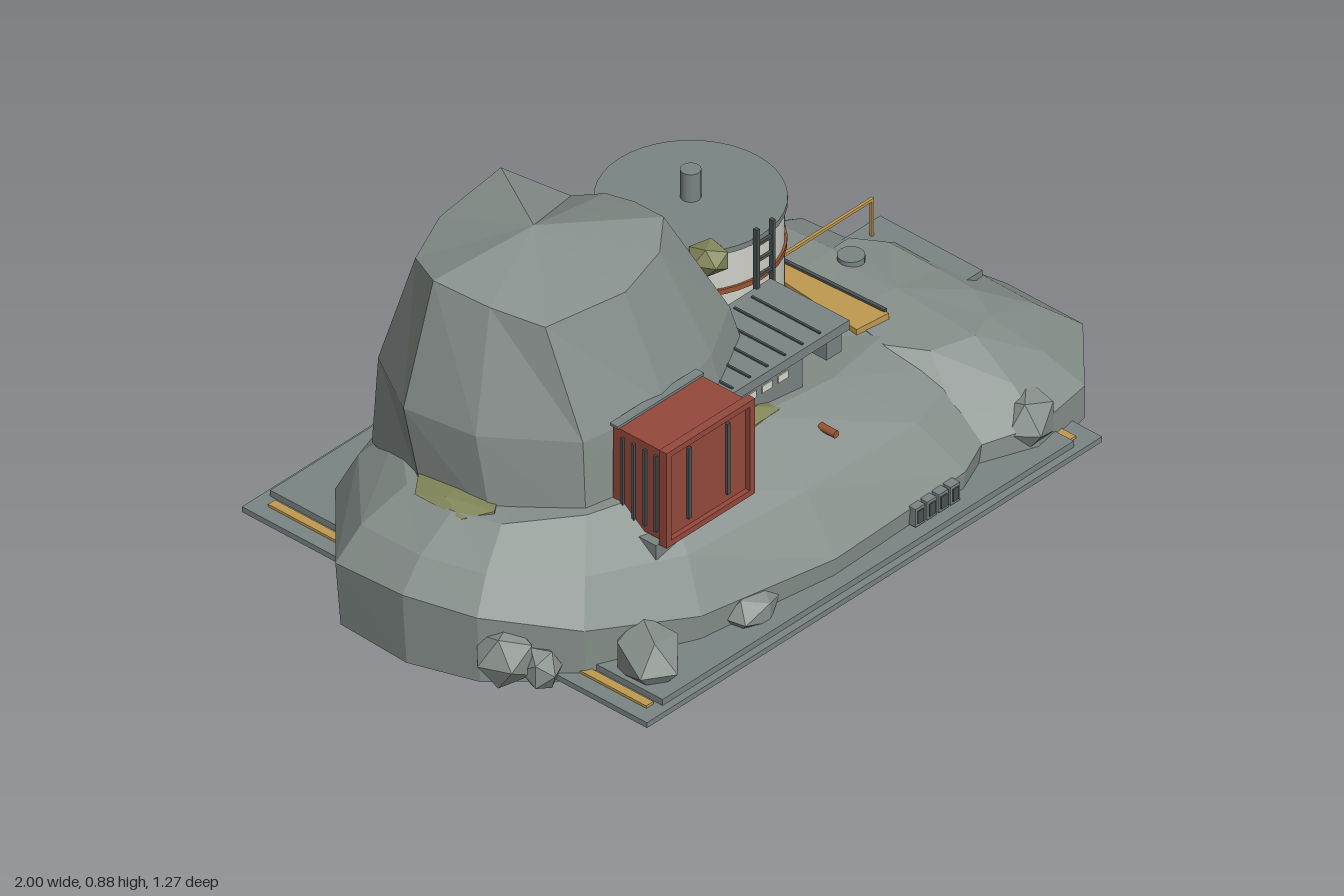
import * as THREE from 'three';

const mat = (name, color, extra = {}) => Object.assign(new THREE.MeshStandardMaterial({ color, ...extra }), { name });

export function createModel() {
  const root = new THREE.Group();
  root.name = 'rockOutpost';
  const rock = mat('rock grey', 0x88918d, { flatShading: true });
  const metal = mat('metal grey', 0x7b8583);
  const dark = mat('dark steel', 0x4b5252);
  const tankWhite = mat('tank white', 0xd0d0c8);
  const red = mat('container red', 0x96493c);
  const yellow = mat('ochre yellow', 0xc09a50);
  const rust = mat('rust', 0x9a5636);
  const moss = mat('moss olive', 0x83875a, { flatShading: true });
  const glass = mat('pale window', 0xd6d8cc);

  const add = (name, geo, m, x = 0, y = 0, z = 0, parent = root) => {
    const mesh = new THREE.Mesh(geo, m);
    mesh.name = name;
    mesh.position.set(x, y, z);
    parent.add(mesh);
    return mesh;
  };
  // box given by its minimum and maximum on each axis
  const box = (name, m, x0, x1, y0, y1, z0, z1) =>
    add(name, new THREE.BoxGeometry(x1 - x0, y1 - y0, z1 - z0), m, (x0 + x1) / 2, (y0 + y1) / 2, (z0 + z1) / 2);
  const cyl = (name, m, r, y0, y1, x, z, n = 32) =>
    add(name, new THREE.CylinderGeometry(r, r, y1 - y0, n), m, x, (y0 + y1) / 2, z);

  // faceted rock skinned over rings of [x, y, z], closed by a bottom and a peak point
  const loft = (name, rings, peak) => {
    const n = rings[0].length, pos = [];
    const tri = (...p) => p.forEach(v => pos.push(...v));
    const base = [peak[0], rings[0][0][1], peak[2]];
    for (let i = 0; i < n; i++) {
      const j = (i + 1) % n;
      for (let k = 0; k + 1 < rings.length; k++) {
        const a = rings[k][i], b = rings[k][j], c = rings[k + 1][j], d = rings[k + 1][i];
        tri(a, d, c);
        tri(a, c, b);
      }
      tri(base, rings[0][i], rings[0][j]);
      tri(peak, rings[rings.length - 1][j], rings[rings.length - 1][i]);
    }
    const g = new THREE.BufferGeometry();
    g.setAttribute('position', new THREE.Float32BufferAttribute(pos, 3));
    g.computeVertexNormals();
    return add(name, g, rock);
  };
  // ring between two rings: t across, u upwards
  const between = (lo, hi, t, u) => lo.map((p, i) => [
    p[0] + (hi[i][0] - p[0]) * t, p[1] + (hi[i][1] - p[1]) * u, p[2] + (hi[i][2] - p[2]) * t]);
  const foot = (ring, s) => ring.map(p => [p[0] * s, 0, p[2] * s]);

  // main mound
  const moundWide = [[.84, .1, -.1], [.8, .1, .2], [.62, .1, .45], [.36, .09, .56], [-.1, .09, .575], [-.5, .11, .52],
    [-.77, .15, .4], [-.94, .19, .22], [-1, .2, .04], [-.99, .18, -.18], [-.73, .14, -.42], [-.2, .1, -.61], [.42, .1, -.615], [.82, .1, -.33]];
  const moundTop = [[.62, .27, -.1], [.58, .27, .1], [.45, .27, .22], [.2, .31, .29], [-.08, .35, .3], [-.42, .34, .33],
    [-.62, .34, .27], [-.78, .34, .15], [-.82, .34, .03], [-.8, .33, -.13], [-.62, .31, -.32], [-.18, .29, -.46], [.38, .27, -.45], [.62, .26, -.28]];
  loft('moundRock', [foot(moundWide, .985), moundWide, between(moundWide, moundTop, .36, .55), moundTop], [.1, .3, -.05]);

  // lower lobe on the left side
  const lobeWide = [[1, .07, .1], [1, .07, .34], [.8, .09, .53], [.6, .1, .57], [.42, .09, .5], [.33, .1, .34], [.4, .1, .1], [.6, .1, -.18], [.83, .1, -.22], [.94, .08, -.14]];
  const lobeTop = [[.77, .23, .1], [.76, .235, .22], [.7, .24, .32], [.6, .26, .37], [.48, .265, .34], [.42, .27, .25], [.44, .28, .1], [.58, .27, -.1], [.7, .25, -.12], [.76, .24, -.05]];
  const lobeFoot = lobeWide.map(p => [p[0], 0, p[2]]);
  loft('lobeRock', [lobeFoot, lobeWide, between(lobeWide, lobeTop, .42, .5), lobeTop], [.6, .275, .12]);

  // tall peak
  const peakLow = [[.15, .29, 0], [.09, .29, .15], [-.1, .29, .25], [-.35, .29, .3], [-.6, .29, .25], [-.74, .29, .08],
    [-.76, .29, -.12], [-.67, .27, -.36], [-.42, .27, -.48], [-.1, .27, -.51], [.05, .27, -.36], [.14, .29, -.15]];
  const peakMid = [[.06, .55, -.02], [.01, .54, .14], [-.15, .53, .23], [-.36, .52, .28], [-.6, .52, .24], [-.76, .53, .05],
    [-.79, .53, -.15], [-.67, .52, -.34], [-.42, .51, -.46], [-.13, .52, -.46], [-.01, .53, -.32], [.05, .55, -.15]];
  const peakHigh = [[-.11, .81, -.05], [-.14, .84, .07], [-.24, .83, .15], [-.4, .82, .19], [-.62, .81, .14], [-.68, .84, .02],
    [-.71, .86, -.13], [-.63, .82, -.26], [-.46, .81, -.34], [-.24, .83, -.35], [-.13, .75, -.23], [-.11, .79, -.14]];
  loft('peakRock', [peakLow, peakMid, peakHigh], [-.41, .88, -.09]);

  // boulders and moss
  const lump = (name, m, x, y, z, sx, sy, sz, turn) => {
    const b = add(name, new THREE.IcosahedronGeometry(1, 0), m, x, y, z);
    b.scale.set(sx, sy, sz);
    b.rotation.y = turn;
  };
  [[-.89, .08, .26, .08, .08, .08, .4], [-.65, .07, .49, .12, .08, .085, 1], [-.34, .06, .53, .09, .05, .06, .2],
    [.62, .09, .51, .1, .08, .075, .7], [-.84, .05, .33, .05, .06, .05, 2]].forEach(a => lump('boulder', rock, ...a));
  lump('mossBoulder', moss, .1, .56, -.01, .05, .045, .055, .5);
  lump('mossPatch', moss, -.76, .335, -.01, .075, .02, .14, 0);
  lump('mossPatch', moss, -.14, .335, .28, .17, .025, .05, 0);

  // stepped foundation with yellow edge strips
  box('foundationPlate', metal, -.81, .745, .01, .025, -.64, .635);
  box('foundationSlab', metal, -.735, .67, .025, .042, -.62, .615);
  [-.757, .687].forEach(x => box('edgeStrip', yellow, x - .012, x + .012, .025, .032, -.595, .595));

  // storage tank
  const tx = .235, tz = -.19;
  cyl('tankBody', tankWhite, .218, .25, .565, tx, tz, 40);
  cyl('tankLid', metal, .225, .562, .577, tx, tz, 40);
  cyl('tankChimney', metal, .025, .575, .655, tx, tz, 16);
  cyl('tankBand', rust, .224, .448, .462, tx, tz, 40);
  [-.027, .027].forEach(dx => box('ladderRail', dark, tx + dx - .005, tx + dx + .005, .35, .61, .036, .048));
  for (let y = .38; y < .6; y += .045) box('ladderRung', dark, tx - .027, tx + .027, y, y + .008, .038, .046);

  // cargo container on a ledge
  box('containerBody', red, -.525, -.24, .29, .543, .265, .43);
  box('containerRoofRim', metal, -.53, -.235, .543, .55, .26, .285);
  [-.535, -.25].forEach(x => box('containerPost', red, x, x + .018, .283, .552, .42, .443));
  [.283, .536].forEach(y => box('containerRail', red, -.535, -.232, y, y + .016, .42, .443));
  [-.447, -.315].forEach(x => box('containerDoorBar', dark, x - .005, x + .005, .32, .52, .428, .437));
  for (let z = .295; z < .42; z += .035) {
    [-.528, -.237].forEach(x => box('containerRib', dark, x - .004, x + .004, .31, .525, z, z + .007));
  }
  box('containerLedge', metal, -.545, -.26, .245, .285, .27, .42);

  // bunker with a slatted roof and a row of windows
  box('bunkerBody', metal, -.16, .115, .3, .415, .03, .272);
  box('bunkerPier', metal, .2, .25, .35, .415, .05, .27);
  box('bunkerRoof', metal, -.2, .258, .417, .443, .04, .288);
  for (let i = 0; i < 6; i++) box('roofSlat', dark, -.13 + i * .06, -.124 + i * .06, .443, .447, .06, .275);
  for (let i = 0; i < 4; i++) box('bunkerWindow', glass, -.135 + i * .055, -.1 + i * .055, .376, .396, .27, .275);

  // yellow loading deck wrapping behind the tank
  const deck = new THREE.Shape([[.19, .48], [.47, .5], [.5, -.19], [.4, -.18], [.43, .1], [.4, .37], [.2, .4]].map(p => new THREE.Vector2(...p)));
  const deckGeo = new THREE.ExtrudeGeometry(deck, { depth: .15, bevelEnabled: false }).rotateX(-Math.PI / 2);
  add('loadingDeck', deckGeo, yellow, 0, .14, 0);
  for (let i = 0; i < 9; i++) {
    const z = -.485 + i * .075, x = .47 + i * .0033;
    box('deckRib', i ? yellow : dark, x - .004, x + .01, .15, .285, z, z + .012);
  }
  for (let i = 0; i < 4; i++) box('deckBackRib', dark, .2 + i * .086, .207 + i * .086, .16, .288, -.503, -.48);
  const curb = box('deckCurb', dark, .48, .49, .286, .296, -.5, .18);
  curb.rotation.y = .043;

  // side terrace with hatch and a bent yellow pipe
  box('terraceSlab', metal, .63, .855, .192, .21, -.165, .157);
  box('terraceBeam', metal, .66, .84, .165, .18, -.14, .13);
  cyl('hatchStem', metal, .024, .2, .265, .62, -.04, 16);
  cyl('hatchCap', metal, .033, .265, .283, .62, -.04, 16);
  box('pipeRun', yellow, .43, .788, .308, .316, -.13, -.122);
  box('pipePost', yellow, .78, .788, .2, .316, -.13, -.122);

  // vents in the front slope, and small rust drains
  for (let i = 0; i < 4; i++) {
    const x = .18 + i * .04;
    box('ventFrame', metal, x - .016, x + .016, .045, .096, .53, .583);
    box('ventOpening', dark, x - .01, x + .01, .053, .088, .58, .586);
  }
  const drain = add('drainPipe', new THREE.CylinderGeometry(.01, .01, .05, 10), rust, .065, .285, .4);
  drain.rotation.x = Math.PI / 2;
  return root;
}
